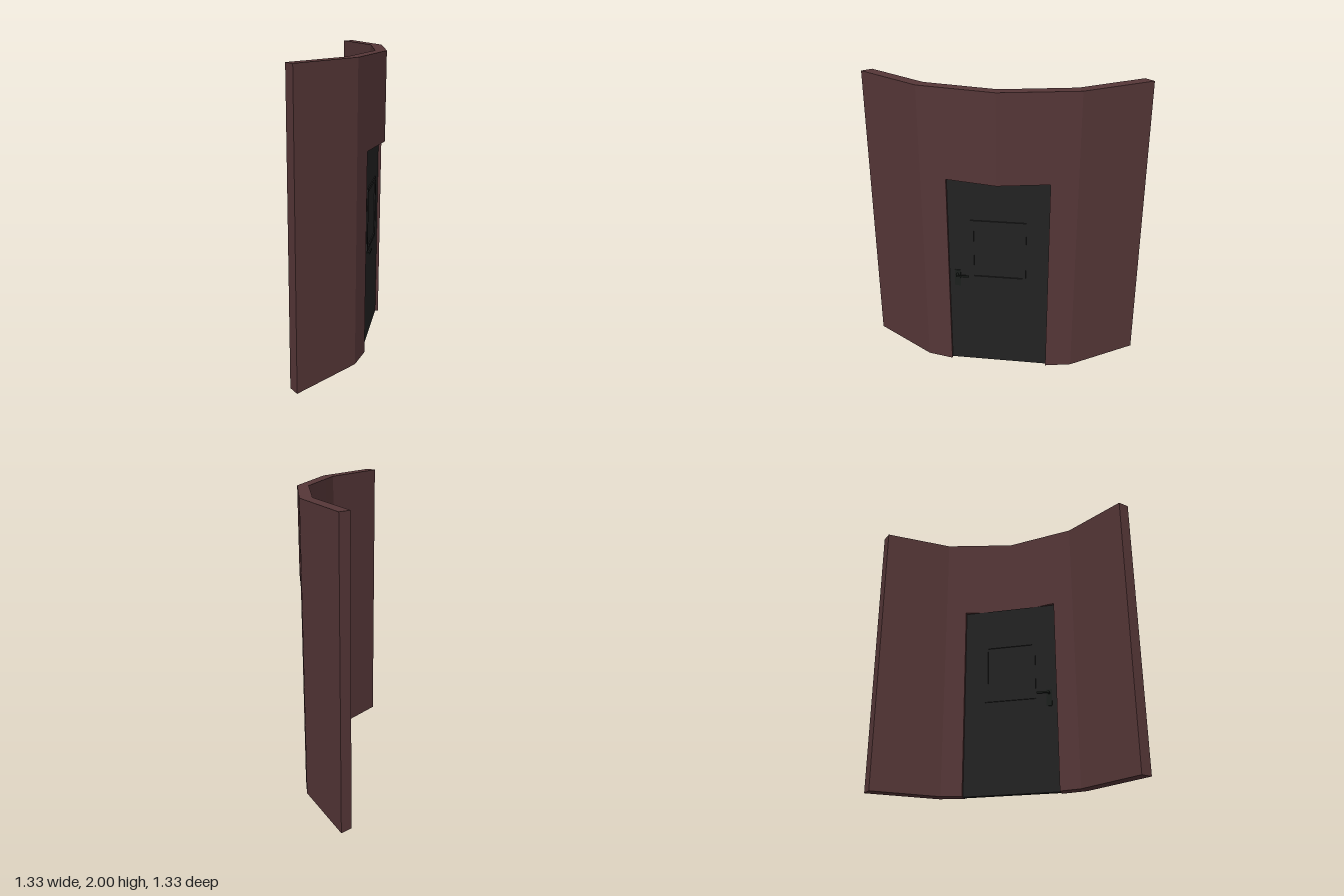
import * as THREE from 'three';

export function createModel() {
  const model = new THREE.Group();
  model.name = 'curvedWallWithDoor';

  const wallPaint = new THREE.MeshStandardMaterial({ color: 0x553637 });
  wallPaint.name = 'dark red wall';
  const doorPaint = new THREE.MeshStandardMaterial({ color: 0x222222 });
  doorPaint.name = 'black door';
  const handleMetal = new THREE.MeshStandardMaterial({ color: 0x1c201d });
  handleMetal.name = 'dark handle metal';

  const HEIGHT = 2, DOOR_HEIGHT = 1.4;

  // Upright prism from a floor plan of [x, z] points
  function prism(name, plan, y0, y1) {
    const shape = new THREE.Shape(plan.map(([x, z]) => new THREE.Vector2(x, -z)));
    const geo = new THREE.ExtrudeGeometry(shape, { depth: y1 - y0, bevelEnabled: false });
    geo.rotateX(-Math.PI / 2);
    geo.translate(0, y0, 0);
    const mesh = new THREE.Mesh(geo, wallPaint);
    mesh.name = name;
    model.add(mesh);
  }
  const swap = (plan) => plan.map(([x, z]) => [z, x]); // mirror across the diagonal

  // Wall: two full-height wings, and a lintel over the doorway
  const jambOut = [-0.01, 0.465], jambIn = [-0.066, 0.409];
  const wing = [[-0.667, 0.667], [-0.16, 0.564], jambOut, jambIn, [-0.189, 0.49], [-0.667, 0.586]];
  prism('rightWallWing', wing, 0, HEIGHT);
  prism('leftWallWing', swap(wing), 0, HEIGHT);
  const [outL, inL] = [jambOut, jambIn];
  const [outR, inR] = swap([jambOut, jambIn]);
  prism('lintel', [outL, [0.275, 0.275], outR, inR, [0.221, 0.221], inL], DOOR_HEIGHT, HEIGHT);

  // Door, set square to the diagonal
  const door = new THREE.Group();
  door.name = 'door';
  door.position.set(0.2, 0, 0.2);
  door.rotation.y = Math.PI / 4;
  model.add(door);

  function box(name, mat, w, h, d, x, y, z) {
    const mesh = new THREE.Mesh(new THREE.BoxGeometry(w, h, d), mat);
    mesh.name = name;
    mesh.position.set(x, y, z);
    door.add(mesh);
  }
  box('doorLeaf', doorPaint, 0.671, DOOR_HEIGHT - 0.002, 0.036, 0, DOOR_HEIGHT / 2 - 0.001, 0);

  // Window frame passing through the leaf
  const frame = new THREE.Shape();
  frame.moveTo(-0.186, 0.67).lineTo(0.186, 0.67).lineTo(0.186, 1.11).lineTo(-0.186, 1.11).closePath();
  const hole = new THREE.Path();
  hole.moveTo(-0.164, 0.692).lineTo(-0.164, 1.088).lineTo(0.164, 1.088).lineTo(0.164, 0.692).closePath();
  frame.holes.push(hole);
  const frameGeo = new THREE.ExtrudeGeometry(frame, { depth: 0.052, bevelEnabled: false });
  frameGeo.translate(0, 0, -0.026);
  const frameMesh = new THREE.Mesh(frameGeo, doorPaint);
  frameMesh.name = 'windowFrame';
  door.add(frameMesh);

  // Back plate, spindle and lever on both faces
  for (const [side, s] of [['front', 1], ['back', -1]]) {
    box(side + 'HandlePlate', handleMetal, 0.04, 0.122, 0.006, -0.28, 0.668, s * 0.021);
    box(side + 'HandleSpindle', handleMetal, 0.012, 0.012, 0.036, -0.28, 0.7, s * 0.038);
    box(side + 'HandleLever', handleMetal, 0.09, 0.012, 0.009, -0.241, 0.7, s * 0.054);
  }

  return model;
}
